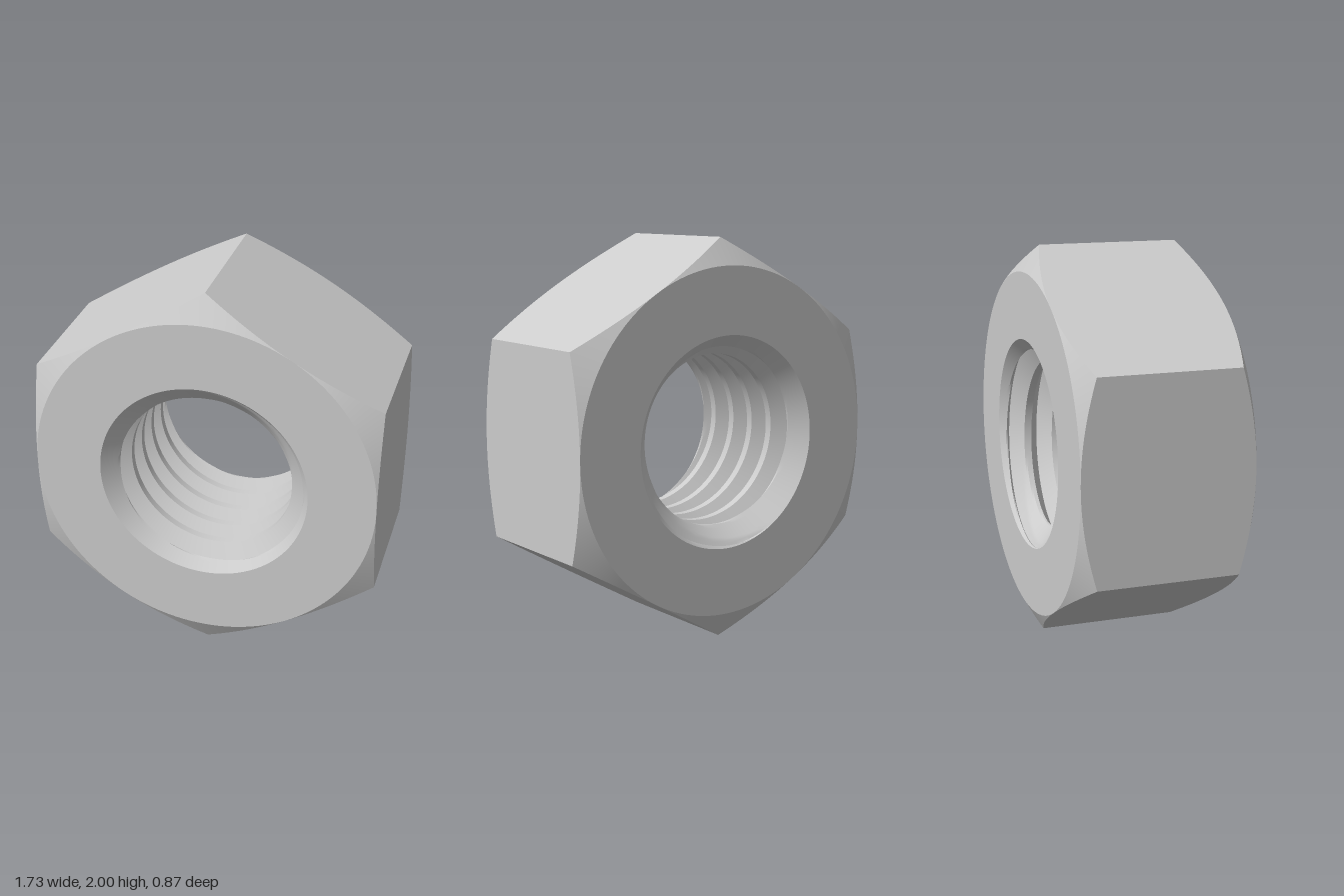
import * as THREE from 'three';
import { toCreasedNormals } from 'three/addons/utils/BufferGeometryUtils.js';

const HALF = 0.433;      // half thickness
const FLAT = 0.866;      // centre to flat
const MOUTH = 0.53;      // countersink radius at the face
const MINOR = 0.427;     // thread crest radius
const PITCH = 0.153;
const CREST = PITCH / 4; // width of the flat thread crest
const COLS = 144;

// Surface swept round the z axis: point(row, angle) returns [radius, z]
function sweep(rows, point) {
  const at = (i, j) => {
    const a = (j / COLS) * Math.PI * 2;
    const [r, z] = point(i, a);
    return new THREE.Vector3(r * Math.cos(a), r * Math.sin(a), z);
  };
  const positions = [];
  const tri = new THREE.Triangle();
  const add = (a, b, c) => {
    if (tri.set(a, b, c).getArea() > 1e-9) {
      for (const p of [a, b, c]) positions.push(p.x, p.y, p.z);
    }
  };
  for (let i = 0; i < rows - 1; i++) {
    for (let j = 0; j < COLS; j++) {
      const a = at(i, j), b = at(i + 1, j), c = at(i + 1, j + 1), d = at(i, j + 1);
      add(a, b, c);
      add(a, c, d);
    }
  }
  const geometry = new THREE.BufferGeometry();
  geometry.setAttribute('position', new THREE.Float32BufferAttribute(positions, 3));
  return toCreasedNormals(geometry, 0.35);
}

// Hexagonal body with 30 degree chamfered corners, pointed at top and bottom
function hexBody() {
  return sweep(6, (i, a) => {
    const sixth = Math.PI / 3;
    const off = a - Math.round(a / sixth) * sixth;
    const r = FLAT / Math.cos(off);
    const z = HALF - (r - FLAT) * Math.tan(Math.PI / 6);
    return [[MOUTH, HALF], [FLAT, HALF], [r, z], [r, -z], [FLAT, -HALF], [MOUTH, -HALF]][i];
  });
}

// Right-hand V thread cut through the bore, countersunk at 45 degrees at both ends
function threadedBore() {
  const offsets = [];
  const flank = PITCH - CREST;
  for (let turn = -6; turn <= 0; turn++) {
    for (let k = 0; k < 4; k++) offsets.push(turn * PITCH + (CREST * k) / 4);
    for (let k = 0; k < 16; k++) offsets.push(turn * PITCH + CREST + (flank * k) / 16);
  }
  offsets.push(PITCH);
  return sweep(offsets.length, (i, a) => {
    const start = 0.33 + PITCH * (a / (Math.PI * 2) - 0.25);
    const z = THREE.MathUtils.clamp(start + offsets[i], -HALF, HALF);
    const u = THREE.MathUtils.euclideanModulo(z - start, PITCH);
    const depth = u < CREST ? 0 : Math.min(u - CREST, PITCH - u) * Math.sqrt(3);
    const cone = MOUTH - (HALF - Math.abs(z));
    return [Math.max(MINOR + depth, cone), z];
  });
}

export function createModel() {
  const group = new THREE.Group();
  group.name = 'hexNut';
  const material = new THREE.MeshStandardMaterial({ color: 0xcccccc });
  for (const [name, geometry] of [['hexBody', hexBody()], ['threadedBore', threadedBore()]]) {
    const mesh = new THREE.Mesh(geometry, material);
    mesh.name = name;
    mesh.position.y = 1;
    group.add(mesh);
  }
  return group;
}
